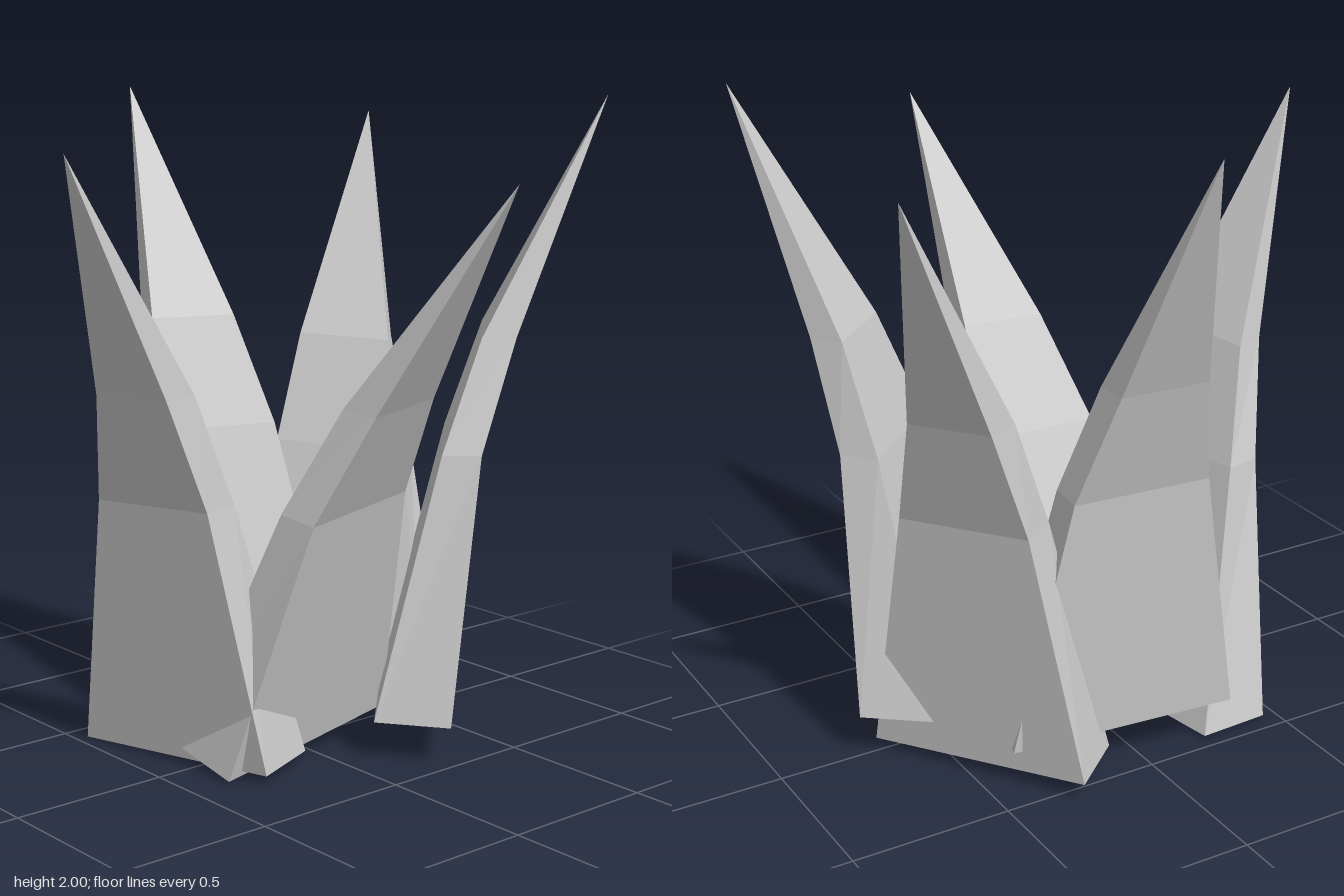
import * as THREE from 'three';

// Cross-sections of one blade, bottom to top:
// height, sideways drift, outward lean, outer half width, inner half width, thickness
const SECTIONS = [
  [0, 0, 0, 0.357, 0.325, 0.235],
  [0.805, 0.014, 0.078, 0.21, 0.215, 0.12],
  [1.15, 0.035, 0.177, 0.133, 0.15, 0.105],
];
const TIP = [0.06, 1.87, 0.44];
const SLOPE = 0.035; // sections rise slightly towards one side

// Four-sided blade bending outward (+z) to a point; origin at the foot of its outer face
function bladeGeometry() {
  const points = [];
  for (const [y, x, z, outer, inner, depth] of SECTIONS) {
    const corners = [[-outer, 0], [outer, 0], [inner, -depth], [-inner, -depth]];
    for (const [u, w] of corners) points.push(x + u, y + u * SLOPE, z + w);
  }
  points.push(...TIP);

  const index = [0, 3, 2, 0, 2, 1]; // closed foot
  const tip = SECTIONS.length * 4;
  for (let s = 0; s < SECTIONS.length; s++) {
    for (let i = 0; i < 4; i++) {
      const a = s * 4 + i;
      const b = s * 4 + ((i + 1) % 4);
      if (s === SECTIONS.length - 1) index.push(a, b, tip);
      else index.push(a, b, b + 4, a, b + 4, a + 4);
    }
  }
  const indexed = new THREE.BufferGeometry();
  indexed.setAttribute('position', new THREE.Float32BufferAttribute(points, 3));
  indexed.setIndex(index);
  const geometry = indexed.toNonIndexed();
  geometry.computeVertexNormals();
  return geometry;
}

// Placement of each blade: foot position, facing in degrees, outward tilt and sideways roll in radians
const BLADES = [
  { name: 'frontBlade', foot: [-0.02, 0.035, 0.125], yaw: 9, tilt: 0.18, roll: 0.05 },
  { name: 'leftFrontBlade', foot: [0.49, 0.13, 0.235], yaw: 45, tilt: 0, roll: 0 },
  { name: 'leftBackBlade', foot: [0.475, 0.04, -0.27], yaw: 123, tilt: 0, roll: 0.007 },
  { name: 'backBlade', foot: [0.07, 0.13, -0.45], yaw: 172, tilt: 0, roll: 0 },
  { name: 'rightBlade', foot: [-0.38, 0.015, -0.085], yaw: -77, tilt: 0.025, roll: 0.007 },
];

export function createModel() {
  const group = new THREE.Group();
  group.name = 'spikyPlant';
  const material = new THREE.MeshStandardMaterial({ color: 0xcccccc, flatShading: true });
  const geometry = bladeGeometry();
  for (const { name, foot, yaw, tilt, roll } of BLADES) {
    const blade = new THREE.Mesh(geometry, material);
    blade.name = name;
    blade.position.set(...foot);
    blade.rotation.set(tilt, THREE.MathUtils.degToRad(yaw), roll, 'YXZ');
    group.add(blade);
  }
  return group;
}
